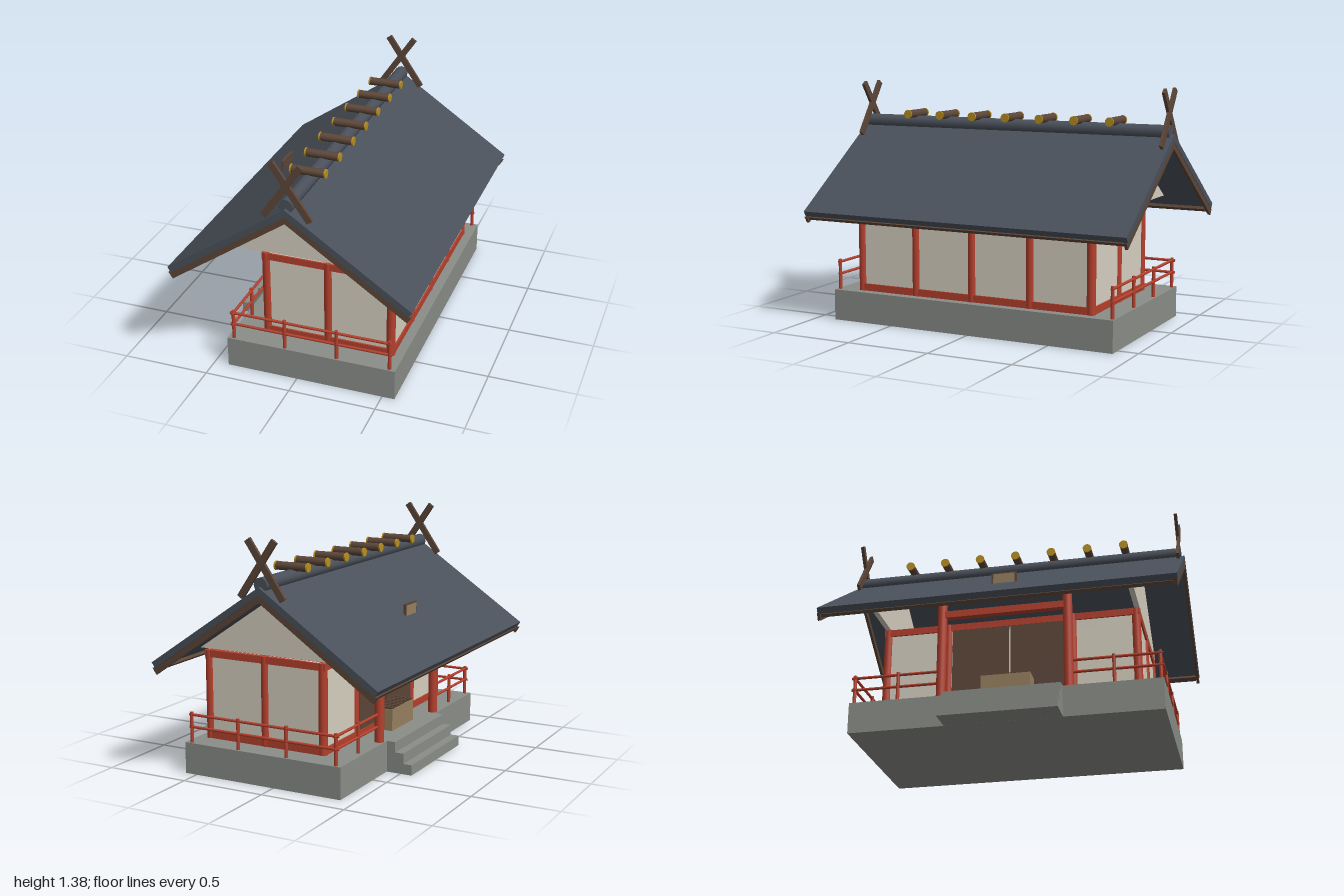
import * as THREE from 'three';

const paint = (name, color) => Object.assign(new THREE.MeshStandardMaterial({ color }), { name });

export function createModel() {
  const model = new THREE.Group();
  model.name = 'shrineHall';
  const stone = paint('stone', 0x8a8d88);
  const red = paint('vermilion', 0xb5402d);
  const cream = paint('plaster', 0xd6d0c0);
  const slate = paint('roofSlate', 0x4a505a);
  const brown = paint('darkWood', 0x5c4638);
  const gold = paint('gold', 0xb8901f);
  const tan = paint('lightWood', 0x97805f);

  const add = (name, geo, mat, x = 0, y = 0, z = 0) => {
    const m = new THREE.Mesh(geo, mat);
    m.name = name;
    m.position.set(x, y, z);
    model.add(m);
    return m;
  };
  // Box given by its low and high corners
  const box = (name, mat, x0, x1, y0, y1, z0, z1) =>
    add(name, new THREE.BoxGeometry(x1 - x0, y1 - y0, z1 - z0), mat,
      (x0 + x1) / 2, (y0 + y1) / 2, (z0 + z1) / 2);
  const post = (name, x, z, r, y0, y1) =>
    add(name, new THREE.CylinderGeometry(r, r, y1 - y0, 16), red, x, (y0 + y1) / 2, z);
  // Round bar lying along x or z
  const bar = (name, mat, axis, r, length, x, y, z, sides = 12) => {
    const g = new THREE.CylinderGeometry(r, r, length, sides);
    if (axis === 'x') g.rotateZ(Math.PI / 2); else g.rotateX(Math.PI / 2);
    return add(name, g, mat, x, y, z);
  };
  // Half-outline on +x, mirrored and extruded along z about a centre
  const gableShape = (name, mat, right, depth, z) => {
    const left = right.filter(p => p[0] > 0).map(([x, y]) => [-x, y]).reverse();
    const pts = [...right, ...left].map(p => new THREE.Vector2(...p));
    const g = new THREE.ExtrudeGeometry(new THREE.Shape(pts), { depth, bevelEnabled: false });
    g.translate(0, 0, -depth / 2);
    return add(name, g, mat, 0, 0, z);
  };

  // Stone base and three entrance steps
  const floor = 0.18;
  box('base', stone, -0.415, 0.571, 0, floor, -0.88, 0.88);
  for (let i = 0; i < 3; i++) {
    const x = -0.57 + i * 0.0515;
    box('step', stone, x, x + 0.0515, 0, 0.06 * (i + 1), -0.33, 0.33);
  }

  // Hall frame: posts, sills and top beams, with plaster between
  const xs = [-0.227, 0.135, 0.497], zs = [-0.724, -0.362, 0, 0.362, 0.724];
  for (const x of xs) for (const z of zs) {
    const entrance = x < 0 && z === 0;
    const inside = x === xs[1] && Math.abs(z) < 0.7;
    if (!entrance && !inside) post('wallPost', x, z, 0.025, floor, 0.69);
  }
  for (const z of [-0.724, 0.724]) {
    box('endWall', cream, xs[0], xs[2], floor, 0.69, z - 0.01, z + 0.01);
    box('endSill', red, xs[0], xs[2], floor, 0.221, z - 0.02, z + 0.02);
    box('endBeam', red, xs[0] - 0.022, xs[2] + 0.022, 0.65, 0.69, z - 0.02, z + 0.02);
  }
  for (const x of [xs[0], xs[2]]) {
    box('sideWall', cream, x - 0.01, x + 0.01, floor, 0.69, -0.724, 0.724);
    box('sideSill', red, x - 0.02, x + 0.02, floor, 0.221, -0.724, 0.724);
    box('sideBeam', red, x - 0.02, x + 0.02, 0.65, 0.69, -0.724, 0.724);
  }

  // Entrance doors
  for (const s of [-1, 1]) {
    const m = s * 0.17;
    box('door', brown, -0.245, -0.237, 0.221, 0.65, m - 0.165, m + 0.165);
  }

  // Porch posts and their beam
  for (const z of [-0.36, 0.36]) post('porchPost', -0.383, z, 0.027, floor, 0.79);
  box('porchBeam', red, -0.403, -0.363, 0.66, 0.7, -0.36, 0.36);

  // Railings across both ends and along the entrance side up to the porch
  for (const s of [-1, 1]) {
    for (const x of [-0.38, -0.075, 0.23, 0.535]) post('railPost', x, s * 0.862, 0.01, floor, 0.356);
    post('railPost', -0.38, s * 0.61, 0.01, floor, 0.356);
    for (const y of [0.27, 0.341]) {
      bar('endRail', red, 'x', 0.008, 0.945, 0.0745, y, s * 0.862);
      bar('sideRail', red, 'z', 0.008, 0.52, -0.38, y, s * 0.62);
    }
  }

  // Offering box with slatted top
  box('offeringBox', tan, -0.355, -0.25, floor, 0.305, -0.14, 0.14);
  for (let i = 0; i < 9; i++) {
    const z = -0.124 + i * 0.031;
    box('offeringSlat', brown, -0.35, -0.255, 0.305, 0.316, z - 0.008, z + 0.008);
  }

  // Gable triangles
  for (const z of [-0.73, 0.73]) gableShape('gable', cream, [[0, 1.07], [0.545, 0.7]], 0.03, z);

  // Roof, gable boards and eave strips
  gableShape('roof', slate, [[0, 1.123], [0.695, 0.65], [0.675, 0.62], [0, 1.08]], 2, 0);
  for (const z of [-0.99, 0.99])
    gableShape('gableBoard', brown, [[0, 1.079], [0.675, 0.619], [0.691, 0.619], [0.668, 0.582], [0, 1.04]], 0.016, z);
  for (const s of [-1, 1]) {
    const strip = add('eaveStrip', new THREE.BoxGeometry(0.03, 0.018, 1.96), brown, s * 0.662, 0.616, 0);
    strip.rotation.z = -s * 0.597;
  }

  // Ridge roll and cross logs with gold caps
  bar('ridge', slate, 'z', 0.04, 1.96, 0, 1.132, 0);
  for (let i = -3; i <= 3; i++) {
    const z = i * 0.2175;
    bar('ridgeLog', brown, 'x', 0.024, 0.196, 0, 1.184, z, 16);
    for (const s of [-1, 1]) bar('logCap', gold, 'x', 0.026, 0.009, s * 0.098, 1.184, z, 16);
  }

  // Crossed finials at both ends of the ridge
  for (const z of [-0.968, 0.968]) for (const s of [-1, 1]) {
    const f = add('crossedFinial', new THREE.BoxGeometry(0.037, 0.373, 0.018), brown,
      -s * 0.023, 1.211, z + s * 0.002);
    f.rotation.z = -s * 0.601;
  }

  // Plaque over the entrance
  box('plaque', brown, -0.402, -0.388, 0.81, 0.915, -0.072, 0.072);
  box('plaqueFace', tan, -0.405, -0.402, 0.82, 0.906, -0.062, 0.062);
  return model;
}
